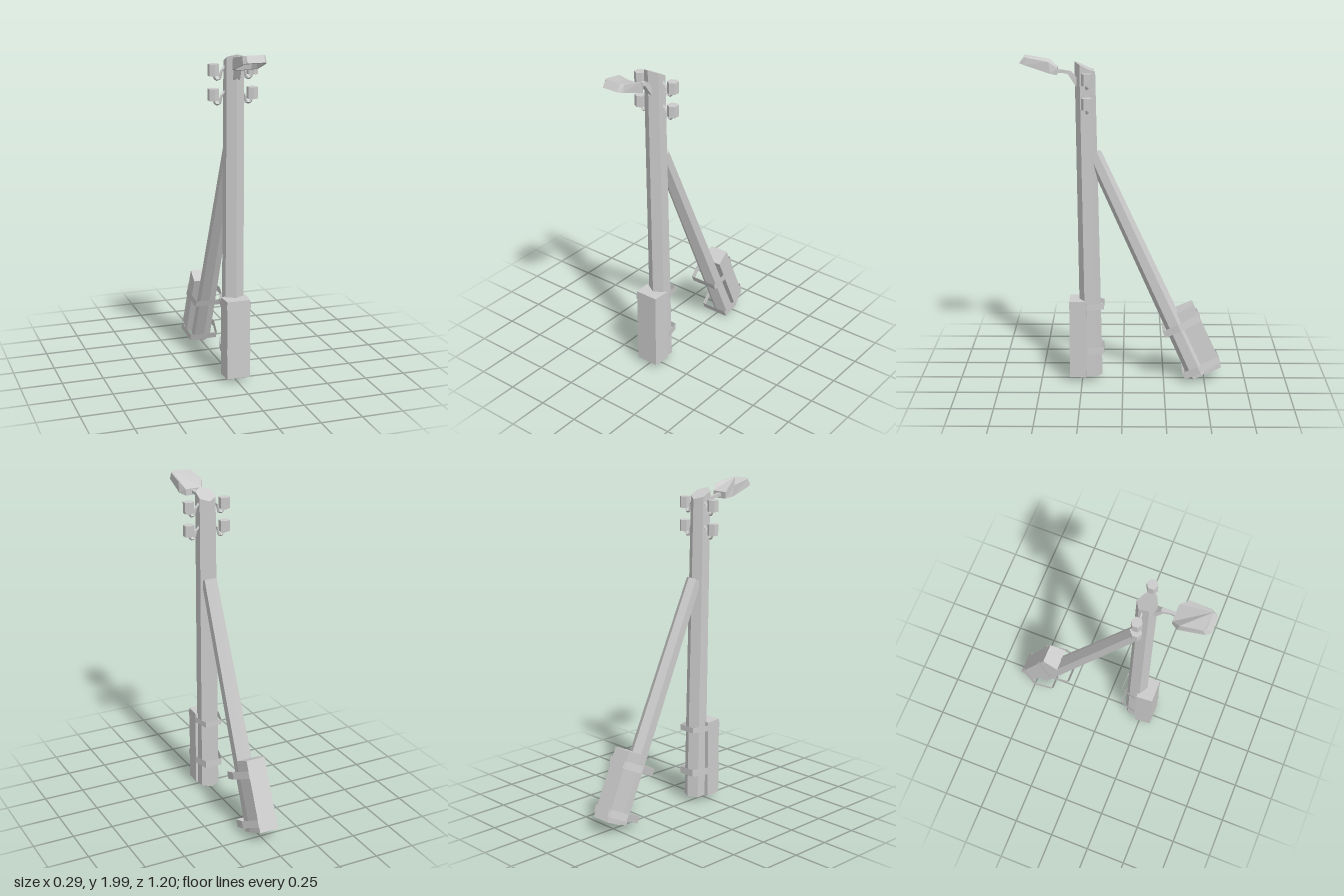
import * as THREE from 'three';

const grey = new THREE.MeshStandardMaterial({ color: 0xcccccc, flatShading: true });
const greyThin = new THREE.MeshStandardMaterial({ color: 0xcccccc, flatShading: true, side: THREE.DoubleSide });

// Skins rings of [x, y, z] points, listed counter-clockwise seen from above
function loft(rings, caps = true) {
  const out = [];
  const n = rings[0].length;
  for (let r = 0; r < rings.length - 1; r++) {
    const a = rings[r], b = rings[r + 1];
    for (let i = 0; i < n; i++) {
      const j = (i + 1) % n;
      out.push(a[i], a[j], b[j], a[i], b[j], b[i]);
    }
  }
  if (caps) {
    const a = rings[0], b = rings[rings.length - 1];
    for (let i = 1; i < n - 1; i++) out.push(a[0], a[i + 1], a[i], b[0], b[i], b[i + 1]);
  }
  const g = new THREE.BufferGeometry();
  g.setAttribute('position', new THREE.Float32BufferAttribute(out.flat(), 3));
  g.computeVertexNormals();
  return g;
}

function add(parent, name, geometry, material = grey) {
  const m = new THREE.Mesh(geometry, material);
  m.name = name;
  parent.add(m);
  return m;
}

// Six-sided ring with ridges to the front and back; slope tilts it along z
function hexRing(x, y, z, r, slope = 0) {
  return Array.from({ length: 6 }, (_, i) => {
    const a = (i * Math.PI) / 3, dz = r * Math.cos(a);
    return [x + r * Math.sin(a), y + slope * dz, z + dz];
  });
}

// Block whose front and back have their own left and right limits
function block(y0, y1, front, back) {
  const ring = (y) => [
    [front.x0, y, front.z], [front.x1, y, front.z],
    [back.x1, y, back.z], [back.x0, y, back.z],
  ];
  return loft([ring(y0), ring(y1)]);
}

// Thin band following an outline of [x, z] points
function band(outline, y, height) {
  const ring = (h) => outline.map(([x, z]) => [x, h, z]);
  return loft([ring(y - height / 2), ring(y + height / 2)], false);
}

function createMainPole() {
  const g = new THREE.Group();
  g.name = 'mainPole';
  add(g, 'poleShaft', loft([hexRing(0.007, 0.035, 0.193, 0.067), hexRing(0, 1.935, 0.222, 0.06, 0.5)]));
  add(g, 'poleFooting', block(0.035, 0.52,
    { x0: -0.07, x1: 0.071, z: 0.325 }, { x0: -0.077, x1: 0.078, z: 0.222 }));
  const outline = [[-0.074, 0.327], [0.075, 0.327], [0.083, 0.215], [0.058, 0.115], [-0.05, 0.115], [-0.081, 0.215]];
  add(g, 'upperPoleStrap', band(outline, 0.485, 0.035), greyThin);
  add(g, 'lowerPoleStrap', band(outline, 0.205, 0.045), greyThin);
  return g;
}

// Leaning brace, built upright and then tipped forward
function createBrace() {
  const g = new THREE.Group();
  g.name = 'brace';
  add(g, 'braceShaft', loft([hexRing(0, 0, 0, 0.06), hexRing(-0.007, 1.527, 0, 0.046)]));
  add(g, 'braceFooting', block(0, 0.433,
    { x0: -0.082, x1: 0.06, z: -0.05 }, { x0: -0.075, x1: 0.045, z: -0.156 }));
  const outline = [[-0.095, 0.072], [0.08, 0.072], [0.092, -0.03], [0.05, -0.163], [-0.07, -0.163], [-0.122, -0.05]];
  add(g, 'upperBraceStrap', band(outline, 0.35, 0.045), greyThin);
  add(g, 'lowerBraceStrap', band(outline, 0.055, 0.045), greyThin);
  g.position.set(0.01, 0.03, -0.46);
  g.rotation.x = 0.4267;
  return g;
}

// Insulator on a bent hook
function createInsulator(side, y) {
  const g = new THREE.Group();
  g.name = side > 0 ? 'leftInsulator' : 'rightInsulator';
  const cup = add(g, 'insulatorCup', new THREE.CylinderGeometry(0.033, 0.033, 0.068, 6));
  cup.position.set(side * 0.117, y, 0.208);
  const path = new THREE.CurvePath();
  const pts = [[0.045, 0.018], [0.07, -0.01], [0.08, -0.054], [0.105, -0.054], [0.117, -0.025]]
    .map(([x, dy]) => new THREE.Vector3(side * x, y + dy, 0.208));
  for (let i = 0; i < pts.length - 1; i++) path.add(new THREE.LineCurve3(pts[i], pts[i + 1]));
  add(g, 'insulatorHook', new THREE.TubeGeometry(path, 12, 0.009, 4, false));
  return g;
}

function createLamp() {
  const g = new THREE.Group();
  g.name = 'streetLamp';

  // Tapered arm, bent up from the pole and then forward
  const armRing = (y, z, w, dy, dz) => [
    [-w, y - dy, z + dz], [-w, y + dy, z - dz], [w, y + dy, z - dz], [w, y - dy, z + dz],
  ];
  add(g, 'lampArm', loft([
    armRing(1.835, 0.262, 0.02, 0.016, 0.012),
    armRing(1.9, 0.312, 0.013, 0.009, 0.008),
    armRing(1.908, 0.355, 0.008, 0.009, 0.002),
    armRing(1.912, 0.4, 0.014, 0.012, 0.001),
  ]), greyThin);

  // Head: recess, rim, sides and cap; half outline [x, z] mirrored
  const mirror = (half) => [...half, ...half.slice().reverse().map(([x, y, z]) => [-x, y, z])];
  const under = (z) => 1.891 + (z - 0.386) * 0.325;
  const half = [[0.05, 0.6], [0.068, 0.572], [0.077, 0.42], [0.05, 0.383]];
  const rim = (s, lift) => mirror(half.map(([x, z]) => {
    const zz = 0.492 + (z - 0.492) * s;
    return [x * s, under(zz) + lift, zz];
  }));
  const top = mirror([[0.05, 1.998, 0.572], [0.066, 1.993, 0.555], [0.077, 1.97, 0.43], [0.052, 1.93, 0.382]]);
  add(g, 'lampHead', loft([rim(0.78, 0.028), rim(0.84, 0), rim(1, 0), top]));
  return g;
}

export function createModel() {
  const model = new THREE.Group();
  model.name = 'utilityPole';
  model.add(createMainPole(), createBrace(), createLamp());
  for (const y of [1.873, 1.732]) for (const side of [-1, 1]) model.add(createInsulator(side, y));
  return model;
}
